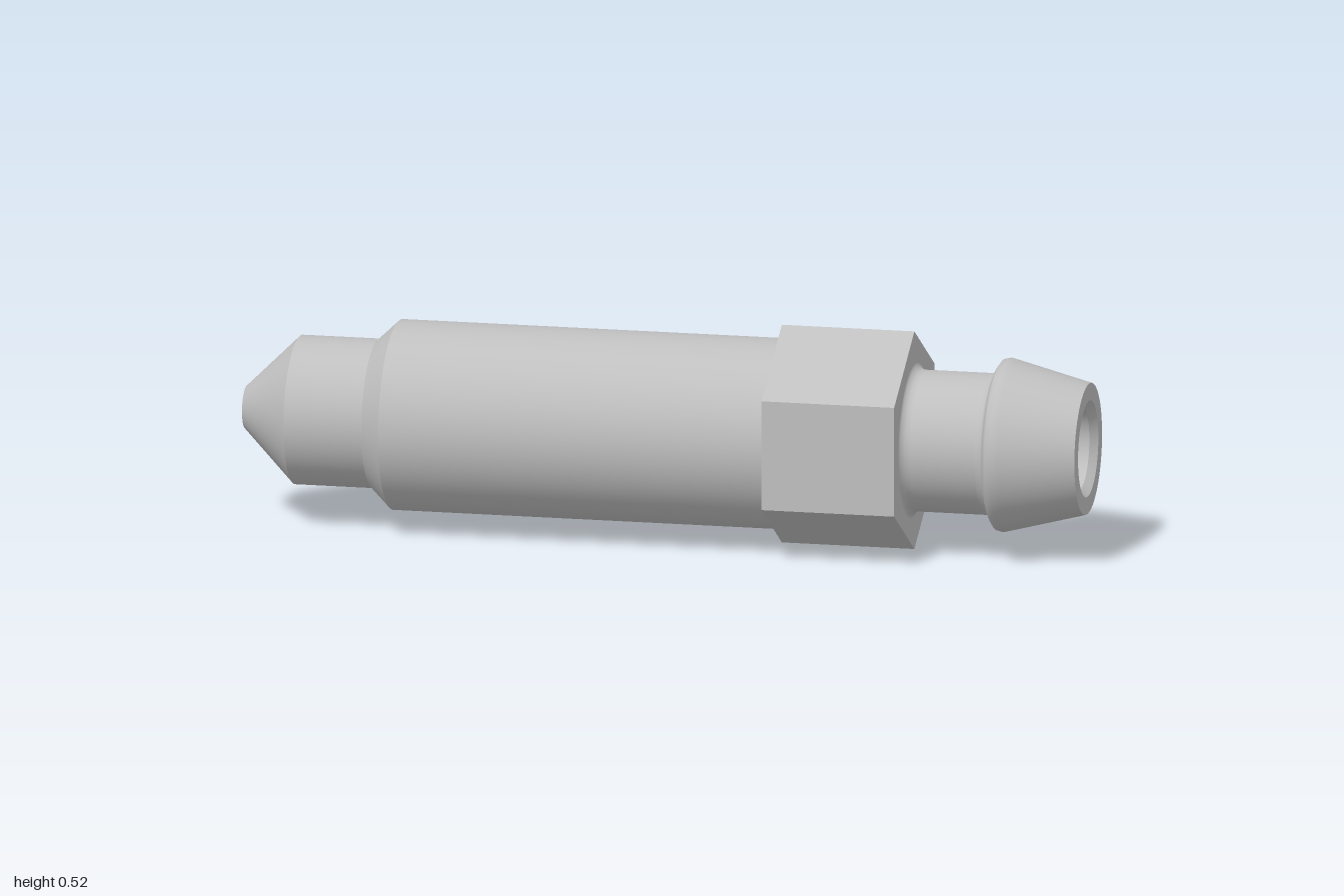
import * as THREE from 'three';
import { ParametricGeometry } from 'three/addons/geometries/ParametricGeometry.js';

const AXIS_Y = 0.26;      // height of the long axis
const TIP_R = 0.174;      // radius of the nose cylinder
const HOLE_X = -0.7825;   // centre of the cross hole
const HOLE_R = 0.05;
const HALF = 0.0925;      // half size of the wall patch around the hole

export function createModel() {
  const steel = new THREE.MeshStandardMaterial({ color: 0xbfbfbf });
  steel.name = 'steel';

  const valve = new THREE.Group();
  valve.name = 'bleedValve';
  const add = (name, geometry, parent = valve) => {
    const mesh = new THREE.Mesh(geometry, steel);
    mesh.name = name;
    parent.add(mesh);
    return mesh;
  };

  // Turned surface about the x axis from [x, radius] points
  const turned = (points, start = 0, sweep = Math.PI * 2) =>
    new THREE.LatheGeometry(points.map(([x, r]) => new THREE.Vector2(r, x)), 72, start, sweep)
      .rotateZ(-Math.PI / 2);

  // One smooth surface per entry, so the edges between them stay sharp
  const turnedPart = (name, sections) => {
    const part = new THREE.Group();
    part.name = name;
    sections.forEach((s, i) => add(`${name}Surface${i + 1}`, turned(s), part));
    valve.add(part);
  };

  // Pointed nose and its blunt end
  turnedPart('nose', [
    [[-1, 0], [-1, 0.05]],
    [[-1, 0.05], [-0.875, TIP_R]],
  ]);

  // Nose cylinder, leaving a gap at the back for the drilled patch
  const gap = Math.asin(HALF / TIP_R);
  add('noseCylinder', turned([[-0.875, TIP_R], [-0.69, TIP_R]], Math.PI + gap, 2 * (Math.PI - gap)));

  // Wall patch: blends from the round hole to a square border
  add('drilledWall', new ParametricGeometry((u, v, p) => {
    const a = u * Math.PI * 2, c = Math.cos(a), s = Math.sin(a);
    const border = HALF / Math.max(Math.abs(c), Math.abs(s));
    const r = THREE.MathUtils.lerp(HOLE_R, border, v);
    p.set(HOLE_X + c * r, s * r, -Math.sqrt(TIP_R ** 2 - (s * r) ** 2));
  }, 64, 6));

  // Inside wall of the cross hole
  add('crossHole', new ParametricGeometry((u, v, p) => {
    const a = u * Math.PI * 2, y = Math.sin(a) * HOLE_R;
    const outer = -Math.sqrt(TIP_R ** 2 - y * y);
    p.set(HOLE_X + Math.cos(a) * HOLE_R, y, THREE.MathUtils.lerp(-0.06, outer, v));
  }, 64, 2));

  // Main shank with its chamfered shoulder
  turnedPart('shank', [
    [[-0.69, TIP_R], [-0.64, 0.222]],
    [[-0.64, 0.222], [0.275, 0.222]],
  ]);

  // Hexagonal wrench section, hollow for the bore
  const hex = new THREE.Shape();
  for (let i = 0; i < 6; i++) {
    const a = Math.PI / 2 + i * Math.PI / 3;
    hex[i ? 'lineTo' : 'moveTo'](Math.cos(a) * 0.26, Math.sin(a) * 0.26);
  }
  hex.closePath();
  hex.holes.push(new THREE.Path().absarc(0, 0, 0.15, 0, Math.PI * 2, true));
  add('hexagon', new THREE.ExtrudeGeometry(hex, { depth: 0.315, bevelEnabled: false, curveSegments: 48 })
    .rotateY(Math.PI / 2).translate(0.272, 0, 0));

  // Neck with small fillets, rounded barb, tapered end and rim
  turnedPart('hoseBarb', [
    [[0.587, 0.18], [0.59, 0.172], [0.6, 0.166], [0.61, 0.165]],
    [[0.61, 0.165], [0.765, 0.165]],
    [[0.765, 0.165], [0.778, 0.168], [0.785, 0.176], [0.788, 0.19], [0.795, 0.2], [0.808, 0.203], [0.825, 0.199]],
    [[0.825, 0.199], [1, 0.154]],
    [[1, 0.154], [1, 0.113]],
  ]);

  // Bore: chamfered mouth, straight wall and drill-point bottom
  turnedPart('bore', [
    [[1, 0.113], [0.982, 0.097]],
    [[0.982, 0.097], [-0.74, 0.097]],
    [[-0.74, 0.097], [-0.8, 0]],
  ]);

  valve.position.y = AXIS_Y;
  const model = new THREE.Group();
  model.name = 'model';
  model.add(valve);
  return model;
}
